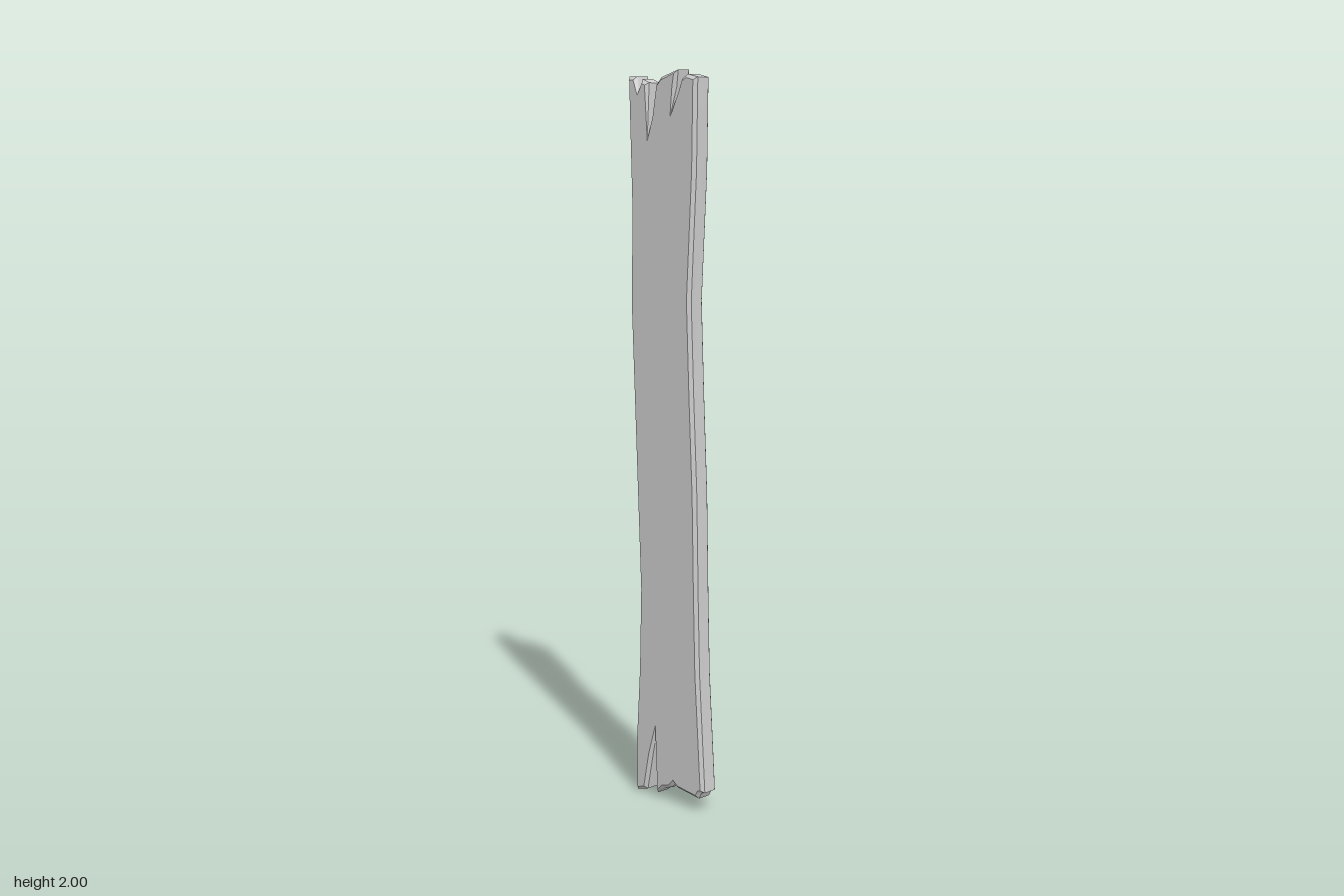
import * as THREE from 'three';
import { toCreasedNormals } from 'three/addons/utils/BufferGeometryUtils.js';

const THICKNESS = 0.056;
const BEVEL = 0.009;

// Board outline as [z, y] points, counter-clockwise
const frontEdge = [
  [0.116, 1.98], [0.112, 1.74], [0.093, 1.4], [0.103, 1.15], [0.116, 0.88],
  [0.122, 0.6], [0.128, 0.39], [0.15, 0.06],
];
const brokenBottom = [
  [0.137, 0.056], [0.127, 0.038], [0.045, 0.047], [0.033, 0.056], [0.02, 0.042],
  [-0.008, 0.034], [-0.037, 0.012], [-0.041, 0.195], [-0.058, 0.12], [-0.08, 0.012],
];
const backEdge = [
  [-0.121, 0], [-0.125, 0.14], [-0.111, 0.36], [-0.105, 0.59],
  [-0.125, 1.05], [-0.14, 1.39], [-0.135, 1.62], [-0.147, 1.985],
];
const splinteredTop = [
  [-0.116, 1.985], [-0.106, 1.948], [-0.094, 1.978], [-0.069, 1.968], [-0.066, 1.83],
  [-0.055, 1.88], [-0.04, 1.962], [-0.02, 1.982], [0.043, 2], [0.037, 1.955],
  [0.024, 1.89], [0.045, 1.945], [0.058, 1.976], [0.08, 1.988],
];

export function createModel() {
  const group = new THREE.Group();
  group.name = 'brokenPlank';

  const outline = [...frontEdge, ...brokenBottom, ...backEdge, ...splinteredTop];
  const shape = new THREE.Shape(outline.map(([z, y]) => new THREE.Vector2(z, y)));

  // Chamfer cut into the outline so the overall size is kept
  const geometry = new THREE.ExtrudeGeometry(shape, {
    depth: THICKNESS - 2 * BEVEL,
    bevelEnabled: true,
    bevelThickness: BEVEL,
    bevelSize: BEVEL,
    bevelOffset: -BEVEL,
    bevelSegments: 1,
  });
  geometry.translate(0, 0, -(THICKNESS / 2 - BEVEL));
  geometry.rotateY(-Math.PI / 2); // outline runs along z, thickness along x

  const plank = new THREE.Mesh(
    toCreasedNormals(geometry, 0.6),
    new THREE.MeshStandardMaterial({ color: 0xcccccc }),
  );
  plank.name = 'plank';
  group.add(plank);
  return group;
}
